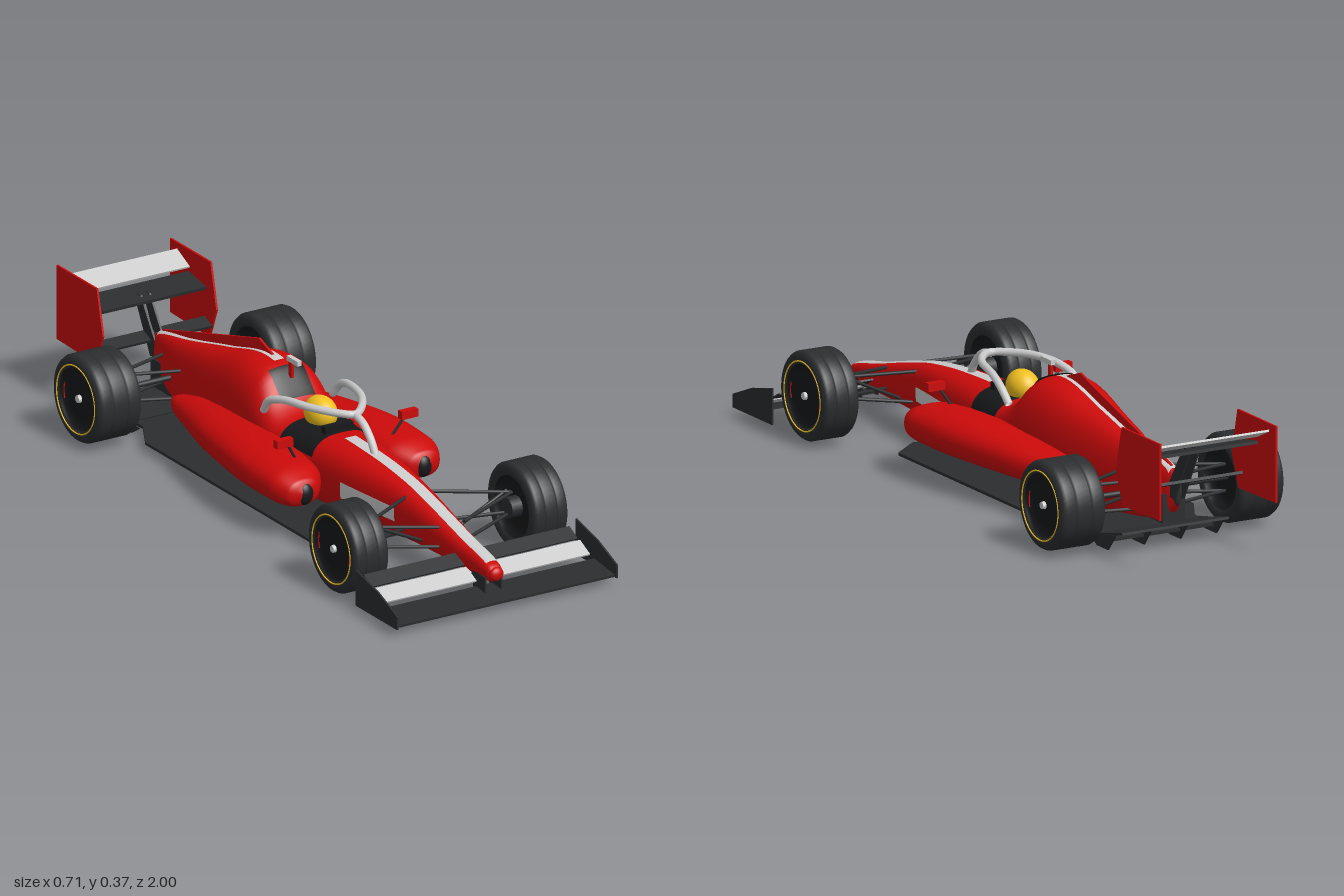
import * as THREE from 'three';
import { ParametricGeometry } from 'three/addons/geometries/ParametricGeometry.js';

const mat = (color) => new THREE.MeshStandardMaterial({ color, side: THREE.DoubleSide });
const RED = mat(0xcc0a0a), DARK = mat(0x2b2d2f), BLACK = mat(0x17181a), GREY = mat(0xcccccc), YELLOW = mat(0xf0c020);
const V = (x, y, z) => new THREE.Vector3(x, y, z);

// Smooth interpolation of rows [z, ...values] without overshoot
function profile(rows) {
  const n = rows.length;
  const d = (i, k) => (rows[i + 1][k] - rows[i][k]) / (rows[i + 1][0] - rows[i][0]);
  const slope = (i, k) => {
    if (i === 0) return d(0, k);
    if (i === n - 1) return d(n - 2, k);
    const a = d(i - 1, k), b = d(i, k);
    return a * b > 0 ? (2 * a * b) / (a + b) : 0;
  };
  return (z) => {
    let i = 0;
    while (i < n - 2 && z < rows[i + 1][0]) i++;
    const h = rows[i + 1][0] - rows[i][0], t = THREE.MathUtils.clamp((z - rows[i][0]) / h, 0, 1);
    const s = t * t * (3 - 2 * t);
    return rows[i].slice(1).map((v, j) => v * (1 - s) + rows[i + 1][j + 1] * s
      + h * (t * (1 - t) ** 2 * slope(i, j + 1) - t * t * (1 - t) * slope(i + 1, j + 1)));
  };
}

// Body sections: z, half width, bottom, height of widest point, top
const bodyAt = profile([
  [0.95, 0.012, 0.075, 0.088, 0.1], [0.93, 0.024, 0.066, 0.09, 0.115], [0.8, 0.035, 0.065, 0.1, 0.145],
  [0.6, 0.05, 0.06, 0.13, 0.195], [0.5, 0.06, 0.055, 0.14, 0.215], [0.35, 0.08, 0.045, 0.14, 0.23],
  [0.2, 0.095, 0.038, 0.14, 0.235], [0, 0.115, 0.035, 0.15, 0.235], [-0.05, 0.12, 0.035, 0.16, 0.255],
  [-0.14, 0.12, 0.035, 0.16, 0.335], [-0.2, 0.117, 0.035, 0.16, 0.341], [-0.4, 0.09, 0.035, 0.14, 0.298],
  [-0.6, 0.055, 0.05, 0.13, 0.25], [-0.75, 0.025, 0.09, 0.15, 0.222], [-0.78, 0.012, 0.12, 0.16, 0.21],
]);
// Sidepod sections: z, centre x, half width, centre y, half height
const podAt = profile([
  [0.285, 0.195, 0.012, 0.14, 0.01], [0.27, 0.193, 0.05, 0.14, 0.037], [0.2, 0.185, 0.084, 0.146, 0.055],
  [0.05, 0.175, 0.093, 0.148, 0.06], [-0.2, 0.14, 0.085, 0.14, 0.055], [-0.4, 0.11, 0.055, 0.127, 0.04],
  [-0.5, 0.102, 0.03, 0.12, 0.024], [-0.54, 0.1, 0.006, 0.12, 0.006],
]);

const pw = (v, p) => Math.sign(v) * Math.abs(v) ** p;
function bodyPoint(z, a, out, target) {
  const [w, y0, yc, y1] = bodyAt(z), c = Math.cos(a), s = Math.sin(a);
  target.set((w + out) * pw(c, 0.72), yc + pw(s, 0.72) * (s > 0 ? y1 - yc + out : yc - y0 + out), z);
}
const ease = (z0, z1, u) => z0 + (z1 - z0) * (1 - Math.cos(Math.PI * u)) / 2;

export function createModel() {
  const car = new THREE.Group();
  const add = (name, geo, m, parent = car) => {
    const mesh = new THREE.Mesh(geo, m);
    mesh.name = name;
    parent.add(mesh);
    return mesh;
  };
  const box = (name, m, w, h, d, x, y, z) => {
    const b = add(name, new THREE.BoxGeometry(w, h, d), m);
    b.position.set(x, y, z);
    return b;
  };
  const ball = (name, m, rx, ry, rz, x, y, z) => {
    const b = add(name, new THREE.SphereGeometry(1, 28, 18), m);
    b.scale.set(rx, ry, rz);
    b.position.set(x, y, z);
  };
  const rod = (name, m, a, b, r = 0.005) => {
    const c = add(name, new THREE.CylinderGeometry(r, r, a.distanceTo(b), 10), m);
    c.position.copy(a).lerp(b, 0.5);
    c.quaternion.setFromUnitVectors(V(0, 1, 0), b.clone().sub(a).normalize());
  };
  // Upright plate from [z, y] points
  const plate = (name, m, pts, x, t) => {
    const s = new THREE.Shape(pts.map(([z, y]) => new THREE.Vector2(z, y)));
    const g = new THREE.ExtrudeGeometry(s, { depth: t, bevelEnabled: false });
    add(name, g.rotateY(-Math.PI / 2).translate(x + t / 2, 0, 0), m);
  };
  // Wing element spanning [z, y] to [z, y]
  const blade = (name, m, w, [z0, y0], [z1, y1], t = 0.007) => {
    const b = box(name, m, w, t, Math.hypot(z1 - z0, y1 - y0), 0, (y0 + y1) / 2, (z0 + z1) / 2);
    b.rotation.x = Math.atan2(y1 - y0, z0 - z1);
  };
  const bodyPatch = (name, m, z0, z1, a0, a1, out) => add(name, new ParametricGeometry(
    (u, v, p) => bodyPoint(z0 + (z1 - z0) * u, a0 + (a1 - a0) * v, out, p), 24, 16), m);
  const topStripe = (name, z0, z1, hw) => add(name, new ParametricGeometry((u, v, p) => {
    const z = z0 + (z1 - z0) * u, [w, , yc, y1] = bodyAt(z), x = hw * (1 - 2 * v);
    const c = Math.min(Math.abs(x) / w, 1) ** (1 / 0.72);
    p.set(x, yc + (y1 - yc) * Math.sqrt(1 - c * c) ** 0.72 + 0.003, z);
  }, 60, 6), GREY);

  // Main body with its stripes
  add('body', new ParametricGeometry((u, v, p) => bodyPoint(ease(0.95, -0.78, u), v * 2 * Math.PI, 0, p), 110, 48), RED);
  ball('noseTip', RED, 0.022, 0.02, 0.014, 0, 0.09, 0.942);
  ball('tailLight', DARK, 0.013, 0.045, 0.01, 0, 0.165, -0.78);
  topStripe('noseStripe', 0.92, 0.2, 0.018);
  topStripe('coverStripe', -0.16, -0.76, 0.016);
  bodyPatch('cockpitOpening', BLACK, 0.16, 0.015, 0.35, Math.PI - 0.35, 0.003);
  bodyPatch('airIntake', BLACK, -0.06, -0.13, 1.25, Math.PI - 1.25, 0.004);
  plate('fin', RED, [[-0.19, 0.345], [-0.26, 0.37], [-0.75, 0.228], [-0.75, 0.215], [-0.4, 0.292]], 0, 0.007);

  // Cockpit
  ball('helmet', YELLOW, 0.043, 0.047, 0.056, 0, 0.259, 0.05);
  box('windscreen', BLACK, 0.09, 0.03, 0.02, 0, 0.24, 0.135);
  const hoop = new THREE.CatmullRomCurve3([[-0.11, 0.25, -0.065], [-0.115, 0.29, -0.03], [-0.105, 0.31, 0.03],
    [-0.08, 0.316, 0.13], [-0.035, 0.314, 0.2], [0, 0.312, 0.225], [0.035, 0.314, 0.2], [0.08, 0.316, 0.13],
    [0.105, 0.31, 0.03], [0.115, 0.29, -0.03], [0.11, 0.25, -0.065]].map((p) => V(...p)));
  add('haloHoop', new THREE.TubeGeometry(hoop, 70, 0.011, 12), GREY);
  const strut = new THREE.CatmullRomCurve3([V(0, 0.312, 0.22), V(0, 0.3, 0.265), V(0, 0.265, 0.305), V(0, 0.225, 0.33)]);
  add('haloStrut', new THREE.TubeGeometry(strut, 20, 0.011, 12), GREY);
  box('cameraPost', RED, 0.008, 0.05, 0.014, 0, 0.335, -0.1);
  box('cameraPod', GREY, 0.014, 0.014, 0.055, 0, 0.363, -0.085);

  // Floor and diffuser
  const half = [[0.13, 0.42], [0.215, 0.35], [0.215, -0.5], [0.16, -0.6], [0.16, -0.7]];
  const outline = [...half, ...half.map(([x, z]) => [-x, z]).reverse()].map(([x, z]) => new THREE.Vector2(x, z));
  const floor = new THREE.ExtrudeGeometry(new THREE.Shape(outline), { depth: 0.008, bevelEnabled: false });
  add('floor', floor.rotateX(Math.PI / 2).translate(0, 0.03, 0), DARK);
  blade('diffuser', DARK, 0.335, [-0.64, 0.03], [-0.77, 0.06]);
  for (const x of [-0.17, -0.057, 0.057, 0.17])
    plate('diffuserStrake', DARK, [[-0.6, 0.025], [-0.64, 0], [-0.7, 0], [-0.74, 0.05]], x, 0.004);
  box('gearbox', DARK, 0.07, 0.08, 0.16, 0, 0.11, -0.68);

  // Front wing
  blade('frontWingMain', DARK, 0.7, [0.99, 0.026], [0.885, 0.038]);
  blade('frontWingFlap', GREY, 0.67, [0.887, 0.056], [0.836, 0.08], 0.005);
  blade('frontWingUpperFlap', DARK, 0.66, [0.832, 0.084], [0.79, 0.106], 0.005);

  // Rear wing
  blade('rearWingMain', DARK, 0.36, [-0.815, 0.287], [-0.905, 0.303], 0.009);
  blade('rearWingFlap', GREY, 0.36, [-0.9, 0.32], [-0.965, 0.35], 0.006);
  blade('beamWing', DARK, 0.36, [-0.785, 0.185], [-0.825, 0.2], 0.008);

  // Wheel: tyre with two grooves, dished rim, coloured rings and centre nut
  const wheel = (name, s, x, z, h) => {
    const g = new THREE.Group();
    g.name = name;
    g.position.set(s * x, 0.135, z);
    g.rotation.z = -s * Math.PI / 2;
    car.add(g);
    const lathe = (part, pts, m) => add(part, new THREE.LatheGeometry(pts.map(([r, y]) => new THREE.Vector2(r, y * h)), 48), m, g);
    const edge = [[0.125, 0.4], [0.125, 0.78], [0.12, 0.92], [0.108, 1], [0.096, 1], [0.088, 0.92]];
    const groove = [[0.125, 0.28], [0.121, 0.31], [0.121, 0.37]];
    const side = [...groove, ...edge];
    lathe('tyre', [...side.map(([r, y]) => [r, -y]).reverse(), ...side], DARK);
    lathe('outerRim', [[0.089, 0.94], [0.083, 0.82], [0.06, 0.76], [0.02, 0.8], [0, 0.8]], BLACK);
    lathe('innerRim', [[0, -0.6], [0.06, -0.6], [0.08, -0.7], [0.089, -0.94]], BLACK);
    const ring = (part, m, r, t, y, start, arc) => {
      const o = add(part, new THREE.TorusGeometry(r, t, 8, 48, arc), m, g);
      o.rotation.set(Math.PI / 2, 0, start);
      o.position.y = y * h;
    };
    ring('tyreBand', YELLOW, 0.097, 0.0022, 0.995, 0, Math.PI * 2);
    for (const a of [1, 3]) ring('rimMark', RED, 0.079, 0.0018, 0.82, a * Math.PI / 2 - 0.3, 0.6);
    const nut = add('wheelNut', new THREE.CylinderGeometry(0.01, 0.012, 0.012, 12), GREY, g);
    nut.position.y = h * 0.85;
  };

  for (const s of [1, -1]) {
    const P = (x, y, z) => V(s * x, y, z);
    wheel('frontWheel', s, 0.287, 0.647, 0.056);
    wheel('rearWheel', s, 0.28, -0.64, 0.07);

    // Sidepod, inlet and nose side panel
    add('sidepod', new ParametricGeometry((u, v, p) => {
      const z = ease(0.285, -0.54, u), [cx, w, cy, h] = podAt(z), a = v * Math.PI * 2;
      p.set(s * cx + w * pw(Math.cos(a), 0.85), cy + h * pw(Math.sin(a), 0.85), z);
    }, 50, 32), RED);
    ball('sidepodInlet', BLACK, 0.026, 0.033, 0.022, s * 0.19, 0.137, 0.268);
    const a0 = s > 0 ? -0.2 : Math.PI - 0.08;
    bodyPatch('sidePanel', GREY, 0.52, 0.29, a0, a0 + 0.28, 0.003);

    // Mirror
    box('mirror', RED, 0.052, 0.023, 0.02, s * 0.2, 0.256, 0.178);
    rod('mirrorStalk', DARK, P(0.187, 0.248, 0.178), P(0.15, 0.19, 0.165), 0.004);

    // Front suspension
    for (const z of [0.545, 0.715]) {
      rod('frontUpperArm', DARK, P(0.04, z > 0.6 ? 0.158 : 0.188, z), P(0.24, 0.175, 0.64));
      rod('frontLowerArm', DARK, P(0.035, 0.1, z), P(0.24, 0.118, 0.64));
    }
    rod('frontPushrod', DARK, P(0.04, 0.09, 0.63), P(0.23, 0.18, 0.63));
    rod('frontAxle', DARK, P(0.22, 0.135, 0.647), P(0.26, 0.135, 0.647), 0.03);

    // Rear suspension
    for (const z of [-0.56, -0.7]) {
      rod('rearUpperArm', DARK, P(0.03, 0.18, z), P(0.225, 0.175, -0.65));
      rod('rearLowerArm', DARK, P(0.03, 0.1, z), P(0.225, 0.1, -0.65));
    }
    rod('rearDriveshaft', DARK, P(0.02, 0.135, -0.64), P(0.24, 0.135, -0.64), 0.008);

    // Wing end plates and supports
    plate('frontEndPlate', DARK, [[1, 0.022], [1, 0.06], [0.9, 0.1], [0.79, 0.125], [0.79, 0.022]], s * 0.352, 0.005);
    plate('frontPylon', DARK, [[0.93, 0.03], [0.93, 0.08], [0.86, 0.085], [0.87, 0.035]], s * 0.026, 0.005);
    plate('rearEndPlate', RED, [[-0.795, 0.37], [-1, 0.37], [-1, 0.155], [-0.8, 0.15], [-0.765, 0.24]], s * 0.182, 0.006);
    plate('rearPylon', DARK, [[-0.74, 0.15], [-0.79, 0.14], [-0.875, 0.3], [-0.84, 0.3]], s * 0.014, 0.006);
  }
  return car;
}
